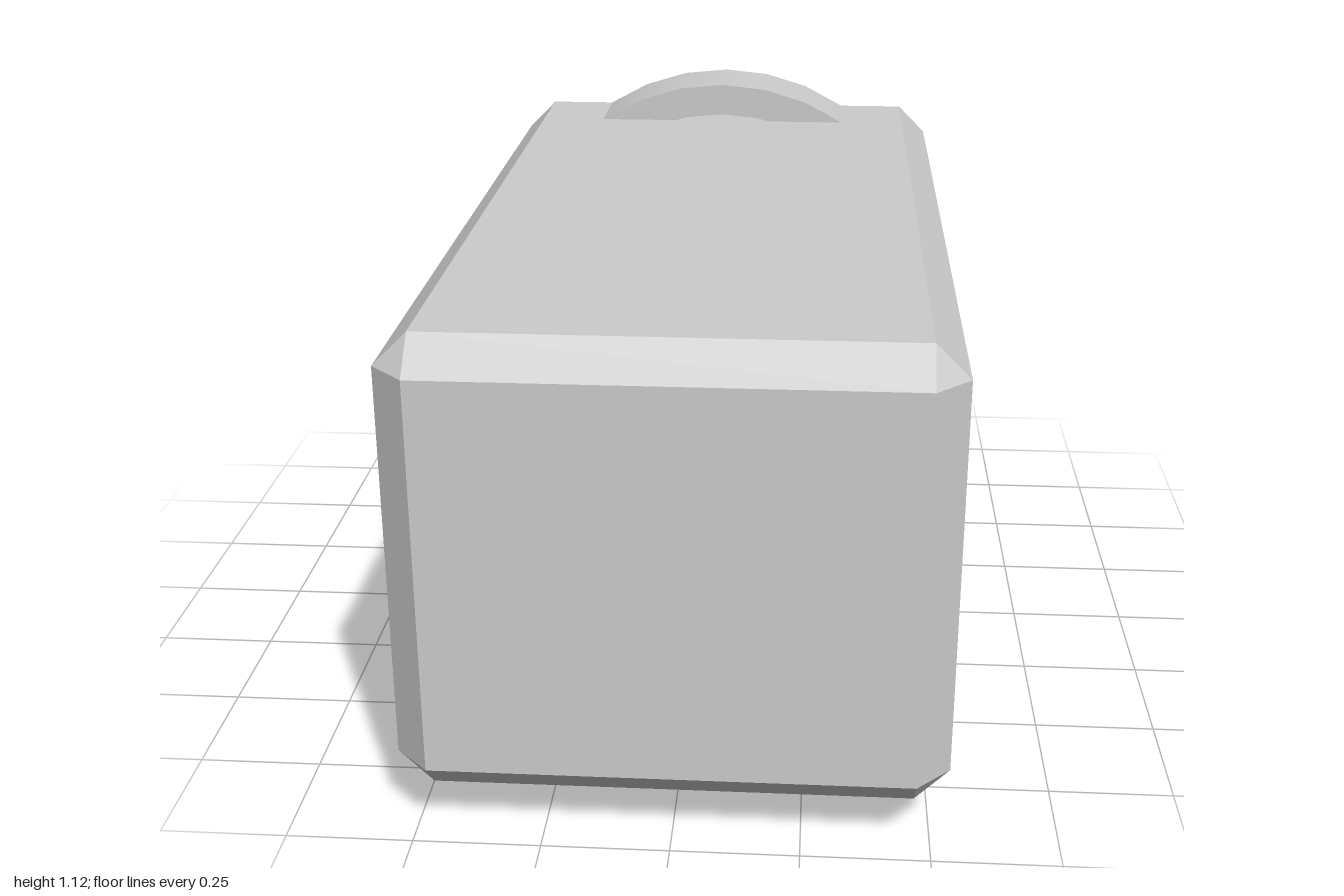
import * as THREE from 'three';
import { mergeGeometries } from 'three/addons/utils/BufferGeometryUtils.js';
import { ConvexGeometry } from 'three/addons/geometries/ConvexGeometry.js';

// Box with every edge and corner cut flat
function chamferedBox(hx, hy, hz, c) {
  const points = [];
  for (const x of [-1, 1]) for (const y of [-1, 1]) for (const z of [-1, 1]) {
    points.push(
      new THREE.Vector3(x * hx, y * (hy - c), z * (hz - c)),
      new THREE.Vector3(x * (hx - c), y * hy, z * (hz - c)),
      new THREE.Vector3(x * (hx - c), y * (hy - c), z * hz)
    );
  }
  return new ConvexGeometry(points);
}

// Square-section ring around z: smooth round walls, sharp rims
function flatRing(outer, inner, depth, segments) {
  const h = depth / 2;
  const profile = [[outer, -h], [outer, h], [inner, h], [inner, -h], [outer, -h]]
    .map(([r, y]) => new THREE.Vector2(r, y));
  const walls = [];
  for (let i = 0; i < 4; i++) {
    walls.push(new THREE.LatheGeometry([profile[i], profile[i + 1]], segments));
  }
  return mergeGeometries(walls).rotateX(Math.PI / 2);
}

export function createModel() {
  const group = new THREE.Group();
  group.name = 'bandedBlock';
  const grey = new THREE.MeshStandardMaterial({ color: 0xcccccc });
  grey.name = 'light grey';

  // Long chamfered body
  const body = new THREE.Mesh(chamferedBox(0.533, 0.466, 1, 0.067), grey);
  body.name = 'body';
  body.position.y = 0.56;

  // Round collar near the back, showing through all four sides
  const collar = new THREE.Mesh(flatRing(0.56, 0.483, 0.2, 32), grey);
  collar.name = 'collar';
  collar.position.set(0, 0.56, -0.833);

  group.add(body, collar);
  return group;
}
